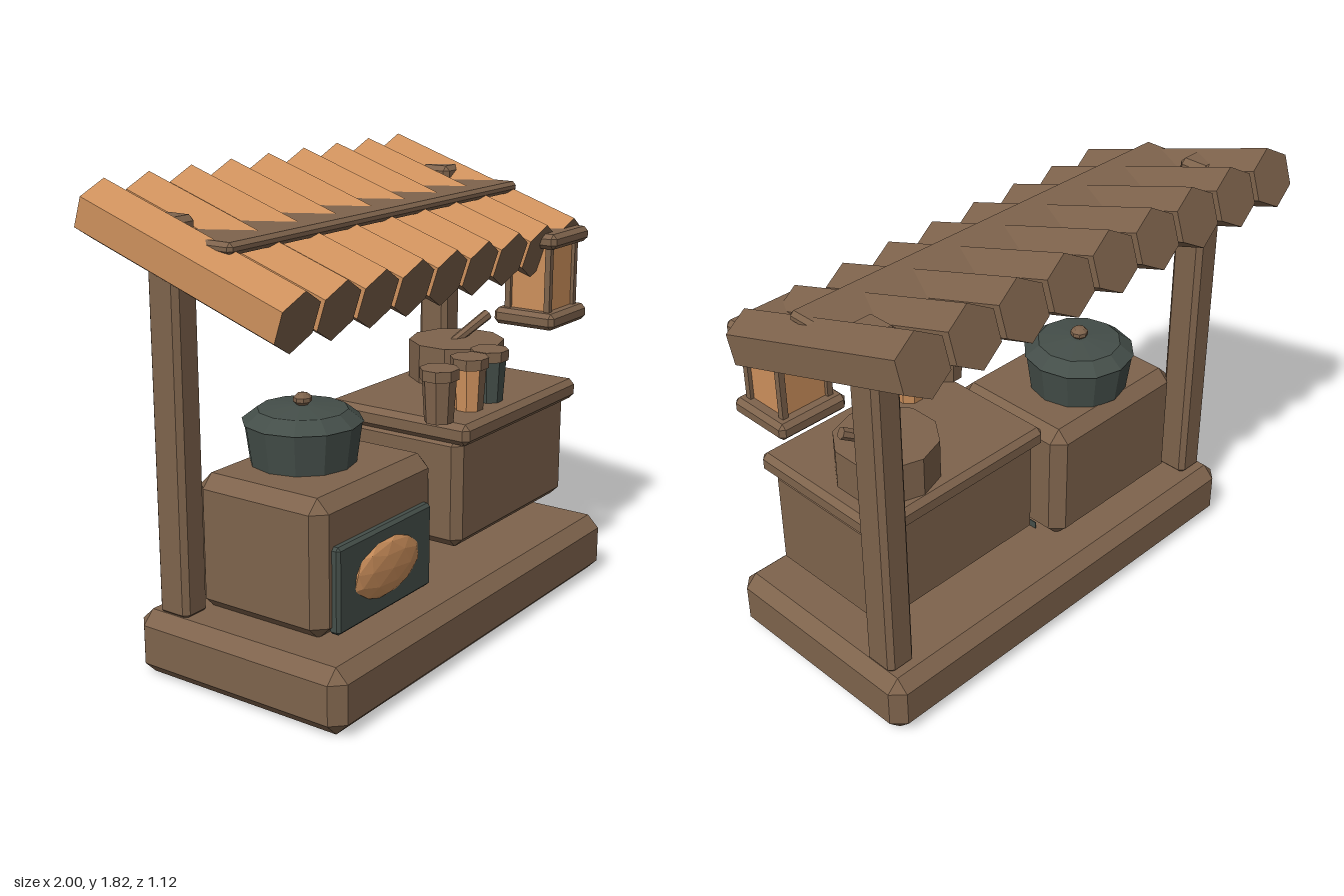
import * as THREE from 'three';
import { ConvexGeometry } from 'three/addons/geometries/ConvexGeometry.js';

const material = (name, color) => {
  const m = new THREE.MeshStandardMaterial({ color });
  m.name = name;
  return m;
};

// Box with every edge bevelled, given by its min/max corners
function bevelBox(x0, x1, y0, y1, z0, z1, c) {
  const h = [(x1 - x0) / 2, (y1 - y0) / 2, (z1 - z0) / 2];
  const points = [];
  for (const sx of [-1, 1]) for (const sy of [-1, 1]) for (const sz of [-1, 1])
    for (let a = 0; a < 3; a++) {
      const p = h.map((v, i) => (i === a ? v : v - c));
      points.push(new THREE.Vector3(p[0] * sx, p[1] * sy, p[2] * sz));
    }
  return new ConvexGeometry(points).translate((x0 + x1) / 2, (y0 + y1) / 2, (z0 + z1) / 2);
}

const flat = (geometry) => {
  const g = geometry.index ? geometry.toNonIndexed() : geometry;
  g.computeVertexNormals();
  return g;
};

// Flat-sided prism; sides listed in `second` use material 1, the rest material 0
function prism(top, bottom, height, sides, second = []) {
  const g = flat(new THREE.CylinderGeometry(top, bottom, height, sides));
  g.clearGroups();
  for (let i = 0; i < sides; i++) g.addGroup(i * 6, 6, second.includes(i) ? 1 : 0);
  g.addGroup(sides * 6, g.attributes.position.count - sides * 6, 0);
  return g;
}

export function createModel() {
  const model = new THREE.Group();
  model.name = 'foodStall';
  const wood = material('brown wood', 0x7e634c);
  const amber = material('amber', 0xcd905c);
  const iron = material('dark iron', 0x444e49);

  const add = (name, geometry, mat, x = 0, y = 0, z = 0, parent = model) => {
    const mesh = new THREE.Mesh(geometry, mat);
    mesh.name = name;
    mesh.position.set(x, y, z);
    parent.add(mesh);
    return mesh;
  };
  const block = (name, mat, ...dims) => add(name, bevelBox(...dims), mat);

  // Plinth, posts and roof supports
  block('base', wood, -0.96, 0.96, 0, 0.25, -0.38, 0.56, 0.05);
  for (const s of [-1, 1]) {
    const x = s * 0.852;
    block(s < 0 ? 'rightPost' : 'leftPost', wood, x - 0.062, x + 0.062, 0.24, 1.71, -0.3, -0.16, 0.02);
  }
  block('rearBeam', wood, -0.8, 0.8, 1.54, 1.62, -0.38, -0.2, 0.01);
  block('roofBoard', wood, -0.93, 0.93, 1.61, 1.655, -0.25, 0.105, 0.015);

  // Sloping roof of hexagonal logs, amber on their right-hand faces
  const roof = new THREE.Group();
  roof.name = 'roof';
  roof.position.set(0, 1.565, -0.083);
  roof.rotation.x = 0.32;
  model.add(roof);
  const log = prism(0.1155, 0.1155, 0.93, 6, [3, 4]).rotateX(Math.PI / 2);
  for (let i = -4; i <= 4; i++) add('roofLog', log, [wood, amber], i * 0.225, 0, 0, roof);

  // Stove with door and glowing fire
  block('stove', wood, -0.795, -0.075, 0.24, 0.765, -0.22, 0.36, 0.05);
  block('stoveDoor', iron, -0.73, -0.145, 0.26, 0.59, 0.34, 0.39, 0.012);
  const fire = flat(new THREE.IcosahedronGeometry(1, 1).rotateZ(0.3).scale(0.207, 0.112, 0.03));
  add('fire', fire, amber, -0.435, 0.43, 0.388);
  // Soot on the side of the stove
  add('sootStrip', new THREE.BoxGeometry(0.004, 0.03, 0.4), iron, -0.074, 0.267, 0.1);
  add('sootPatch', new THREE.BoxGeometry(0.004, 0.07, 0.09), iron, -0.074, 0.3, 0.26);
  add('sootCorner', new THREE.BoxGeometry(0.064, 0.38, 0.004), iron, -0.0995, 0.48, 0.3355).rotation.y = Math.PI / 4;

  // Cooking pot with lid and knob
  const pot = new THREE.Group();
  pot.name = 'pot';
  pot.position.set(-0.437, 0, 0.01);
  model.add(pot);
  add('potBody', prism(0.222, 0.2, 0.16, 12), iron, 0, 0.842, 0, pot);
  add('potLid', prism(0.17, 0.228, 0.045, 12), iron, 0, 0.944, 0, pot);
  add('potLidTop', prism(0.04, 0.17, 0.014, 12), iron, 0, 0.973, 0, pot);
  add('lidStem', prism(0.02, 0.02, 0.03, 8), wood, 0, 0.98, 0, pot);
  add('lidKnob', flat(new THREE.SphereGeometry(0.037, 8, 5).scale(1, 0.7, 1)), wood, 0, 1.0, 0, pot);

  // Counter cabinet and worktop
  block('counter', wood, 0.01, 0.85, 0.35, 0.8, -0.18, 0.41, 0.035);
  block('worktop', wood, 0, 0.87, 0.775, 0.86, -0.21, 0.45, 0.022);

  // Cups
  const cups = [
    { x: 0.005, body: wood, side: wood },
    { x: 0.22, body: wood, side: amber },
    { x: 0.37, body: iron, side: iron },
  ];
  for (const { x, body, side } of cups) {
    const cup = new THREE.Group();
    cup.name = 'cup';
    cup.position.set(x, 0, 0.32);
    model.add(cup);
    const shell = prism(0.068, 0.057, 0.18, 8, [1, 2, 3, 4, 5, 6]).rotateY(Math.PI / 8);
    add('cupBody', shell, [body, side], 0, 0.95, 0, cup);
    add('cupRim', prism(0.077, 0.077, 0.042, 8).rotateY(Math.PI / 8), wood, 0, 1.049, 0, cup);
  }

  // Mortar and pestle
  add('mortar', prism(0.2, 0.2, 0.165, 10), wood, 0.61, 0.938, 0.015);
  add('mortarStain', new THREE.BoxGeometry(0.06, 0.11, 0.006), iron, 0.5, 0.945, 0.172).rotation.y = -0.63;
  const from = new THREE.Vector3(0.58, 0.99, -0.01), to = new THREE.Vector3(0.78, 1.1, 0.06);
  const pestle = add('pestle', prism(0.024, 0.02, from.distanceTo(to), 7), wood);
  pestle.position.copy(from).lerp(to, 0.5);
  pestle.quaternion.setFromUnitVectors(new THREE.Vector3(0, 1, 0), to.clone().sub(from).normalize());

  // Hanging lantern
  const lantern = new THREE.Group();
  lantern.name = 'lantern';
  lantern.position.set(0.813, 0, 0.297);
  model.add(lantern);
  add('lanternBase', bevelBox(-0.152, 0.152, 1.097, 1.165, -0.14, 0.14, 0.018), wood, 0, 0, 0, lantern);
  add('lanternCap', bevelBox(-0.15, 0.15, 1.43, 1.492, -0.14, 0.14, 0.018), wood, 0, 0, 0, lantern);
  add('lanternGlass', new THREE.BoxGeometry(0.2, 0.28, 0.18), amber, 0, 1.297, 0, lantern);
  for (const sx of [-1, 1]) for (const sz of [-1, 1])
    add('lanternFrame', new THREE.BoxGeometry(0.025, 0.28, 0.025), wood, sx * 0.103, 1.297, sz * 0.092, lantern);

  return model;
}
